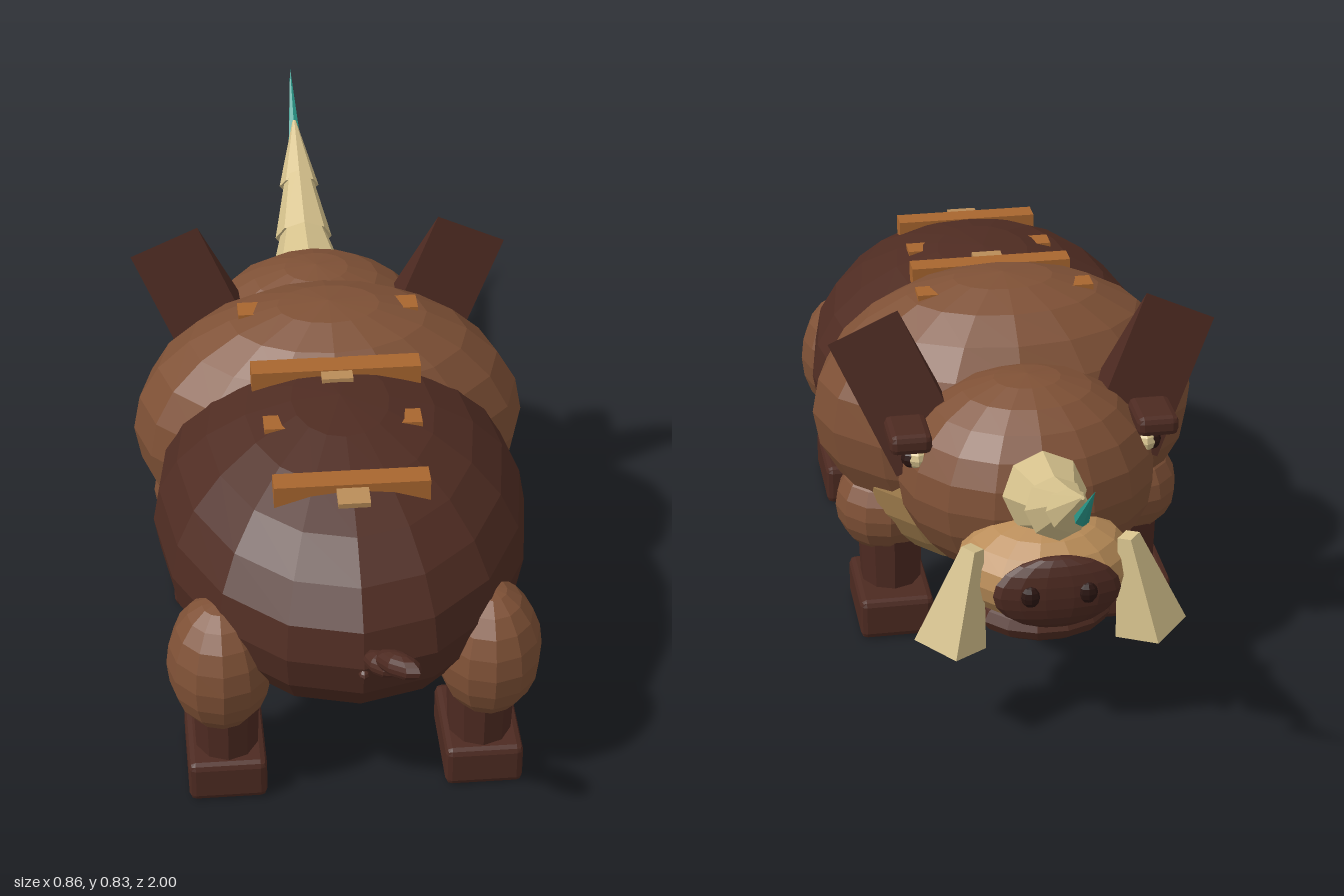
import * as THREE from 'three';
import { RoundedBoxGeometry } from 'three/addons/geometries/RoundedBoxGeometry.js';

const paint = (name, color) => {
  const m = new THREE.MeshStandardMaterial({ color, flatShading: true });
  m.name = name;
  return m;
};

export function createModel() {
  const hide = paint('dark hide', 0x4f2c22);
  const fur = paint('brown fur', 0x7f5136);
  const hoof = paint('hoof brown', 0x4d2a21);
  const tan = paint('belly tan', 0xa37f4e);
  const muzzleTan = paint('muzzle tan', 0xb98c58);
  const ivory = paint('ivory', 0xd6c28d);
  const orange = paint('stripe orange', 0xa8662f);
  const teal = paint('teal', 0x2a9a8c);
  const black = paint('near black', 0x2c1612);

  const model = new THREE.Group();
  model.name = 'hornedBoar';

  const add = (name, geometry, material, pos, rot = [0, 0, 0]) => {
    const mesh = new THREE.Mesh(geometry, material);
    mesh.name = name;
    mesh.position.set(...pos);
    mesh.rotation.set(...rot);
    model.add(mesh);
    return mesh;
  };
  const ball = (name, material, pos, radii, rot, w = 16, h = 12) =>
    add(name, new THREE.SphereGeometry(1, w, h).scale(...radii), material, pos, rot);
  const box = (name, material, pos, size, rot) =>
    add(name, new THREE.BoxGeometry(...size), material, pos, rot);
  // Tapered spike running from point a to point b
  const spike = (name, material, a, b, r0, r1, sides) => {
    const from = new THREE.Vector3(...a), to = new THREE.Vector3(...b);
    const dir = to.clone().sub(from);
    const mesh = add(name, new THREE.CylinderGeometry(r1, r0, dir.length(), sides), material,
      from.clone().add(to).multiplyScalar(0.5).toArray());
    mesh.quaternion.setFromUnitVectors(new THREE.Vector3(0, 1, 0), dir.normalize());
    return mesh;
  };

  // Body
  ball('hindBody', hide, [0, 0.44, 0.33], [0.4, 0.3, 0.54]);
  ball('shoulders', fur, [0, 0.485, 0.05], [0.43, 0.31, 0.29]);
  ball('belly', tan, [0, 0.36, 0.0], [0.34, 0.235, 0.26]);

  // Head
  ball('head', fur, [0, 0.46, -0.26], [0.28, 0.232, 0.235]);
  ball('muzzle', muzzleTan, [0, 0.355, -0.475], [0.19, 0.115, 0.165], undefined, 14, 10);
  ball('lowerJaw', hide, [0, 0.24, -0.46], [0.15, 0.055, 0.125], undefined, 14, 8);
  ball('snout', hoof, [0, 0.363, -0.625], [0.135, 0.083, 0.034], undefined, 14, 10);

  // Horn in stacked segments with a coloured tip
  spike('hornBase', ivory, [0, 0.515, -0.475], [0, 0.57, -0.65], 0.09, 0.045, 8);
  spike('hornMiddle', ivory, [0, 0.55, -0.61], [0, 0.645, -0.77], 0.067, 0.028, 8);
  spike('hornUpper', ivory, [0, 0.615, -0.74], [0, 0.715, -0.88], 0.047, 0.004, 8);
  spike('hornTip', teal, [0, 0.665, -0.873], [0, 0.79, -1.0], 0.016, 0.0005, 6);

  // Ear wedge: triangle in side profile, extruded across the ear width
  const earShape = new THREE.Shape([
    new THREE.Vector2(-0.067, -0.16), new THREE.Vector2(0.067, -0.16), new THREE.Vector2(0, 0.16)]);
  const earGeo = new THREE.ExtrudeGeometry(earShape, { depth: 0.165, bevelEnabled: false })
    .translate(0, 0, -0.0825).rotateY(Math.PI / 2);

  for (const [side, s] of [['left', 1], ['right', -1]]) {
    add(side + 'Ear', earGeo, hoof, [s * 0.277, 0.655, -0.207], [0, 0, -s * 0.43]);
    add(side + 'Brow', new RoundedBoxGeometry(0.09, 0.045, 0.12, 1, 0.014), hoof, [s * 0.265, 0.595, -0.315]);
    ball(side + 'Eye', ivory, [s * 0.247, 0.543, -0.318], [0.025, 0.025, 0.03], undefined, 8, 6);
    ball(side + 'Pupil', black, [s * 0.262, 0.543, -0.32], [0.02, 0.022, 0.02], undefined, 8, 6);
    ball(side + 'Nostril', black, [s * 0.06, 0.37, -0.652], [0.021, 0.024, 0.014], undefined, 8, 6);
    // Tusk flares towards its lower end
    spike(side + 'Tusk', ivory, [s * 0.215, 0.22, -0.56], [s * 0.165, 0.44, -0.55], 0.078, 0.024, 4);

    // Legs
    for (const [end, thigh, radii, shinZ, footZ] of [
      ['Hind', [0.28, 0.325, 0.675], [0.112, 0.155, 0.125], 0.648, 0.63],
      ['Front', [0.28, 0.275, 0.0], [0.11, 0.112, 0.118], -0.01, -0.03]]) {
      ball(side + end + 'Thigh', fur, [s * thigh[0], thigh[1], thigh[2]], radii, undefined, 12, 10);
      add(side + end + 'Shin', new THREE.CylinderGeometry(0.073, 0.068, 0.14, 10).scale(1, 1, 1.17),
        hoof, [s * 0.27, 0.15, shinZ]);
      add(side + end + 'Foot', new RoundedBoxGeometry(0.165, 0.095, 0.23, 1, 0.014),
        hoof, [s * 0.272, 0.0475, footZ]);
    }
  }

  // Back stripes, mostly sunk into the hide
  for (const [y, z, width] of [[0.685, 0.585, 0.32], [0.694, 0.39, 0.33], [0.722, 0.225, 0.36], [0.744, 0.03, 0.39]])
    box('backStripe', orange, [0, y, z], [width, 0.05, 0.05]);
  box('rearBackPatch', muzzleTan, [0, 0.695, 0.623], [0.066, 0.012, 0.066], [0.12, 0, 0]);
  box('frontBackPatch', muzzleTan, [0, 0.739, 0.255], [0.066, 0.012, 0.05]);

  // Tail
  ball('tailRoot', hoof, [0, 0.425, 0.86], [0.012, 0.012, 0.02], undefined, 8, 6);
  ball('tailMiddle', hoof, [0.03, 0.475, 0.895], [0.026, 0.024, 0.05], [-0.25, 0.5, 0], 8, 8);
  ball('tailEnd', hoof, [0.06, 0.51, 0.943], [0.028, 0.026, 0.066], [-0.3, 0.6, 0], 8, 8);

  return model;
}
